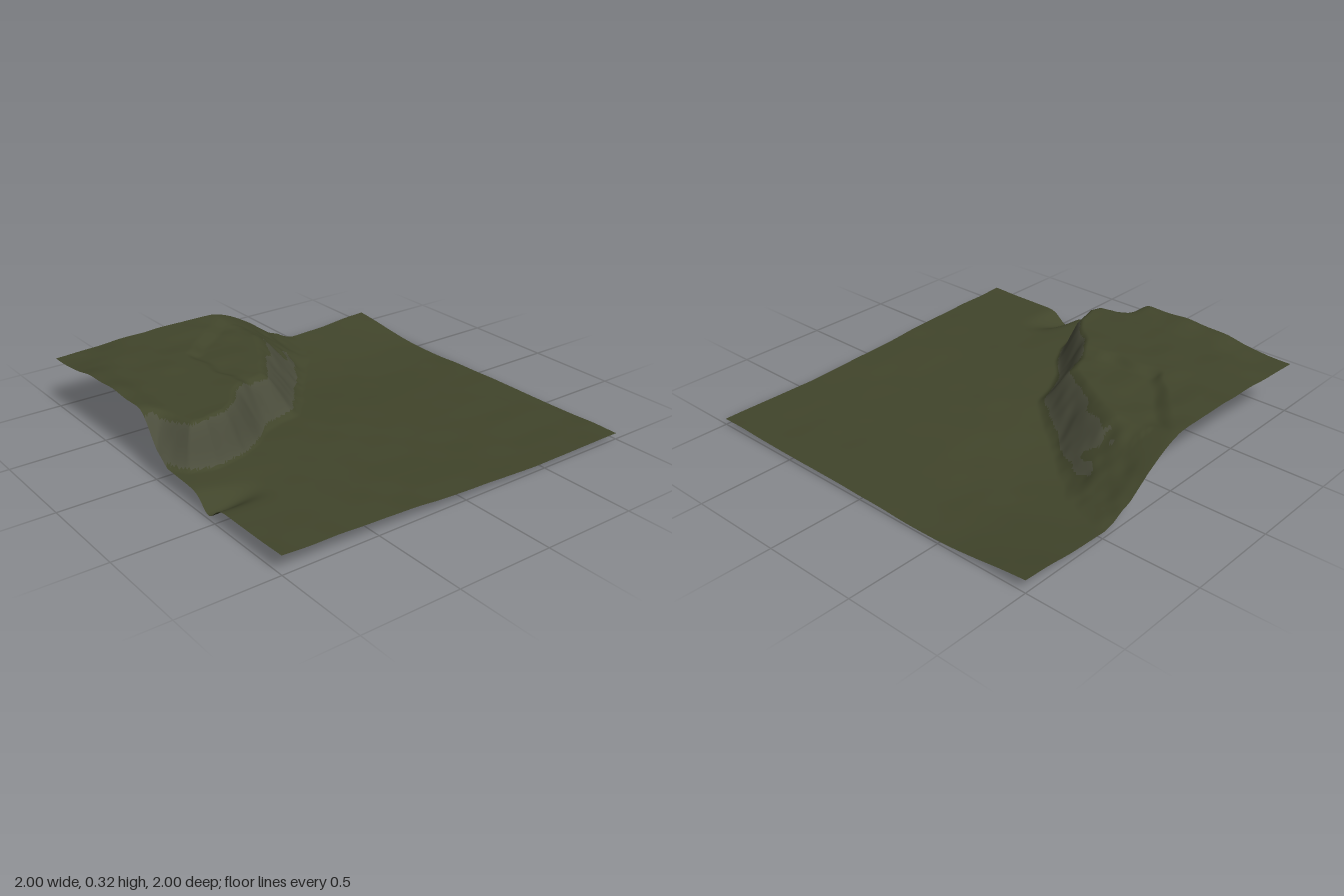
import * as THREE from 'three';

const { smoothstep, lerp, clamp } = THREE.MathUtils;

// Foot-to-rim midline of the cliff: x, z, half width of the slope
const CLIFF = [
  [-1.3, -0.06, 0.11], [-0.98, -0.01, 0.1], [-0.9, 0.14, 0.06], [-0.8, 0.165, 0.06],
  [-0.65, 0.13, 0.06], [-0.55, 0.06, 0.07], [-0.45, -0.04, 0.08], [-0.32, -0.11, 0.09],
  [-0.2, -0.15, 0.1], [-0.1, -0.29, 0.11], [0, -0.43, 0.12], [0.12, -0.62, 0.15],
  [0.19, -0.8, 0.23], [0.22, -1, 0.28], [0.24, -1.4, 0.28],
];

// Gentle heights of the lowland, rows from z = -1 to 1, columns from x = -1 to 1
const PLAIN = [
  [0.1, 0.08, 0.05, 0.035, 0.07],
  [0.11, 0.08, 0.03, 0.005, 0.02],
  [0.11, 0.085, 0.045, 0.015, 0.025],
  [0.09, 0.08, 0.045, 0.025, 0.03],
  [0.095, 0.08, 0.052, 0.032, 0.037],
];

function spline(v, t) {
  const i = Math.min(Math.floor(t), v.length - 2), f = t - i;
  const a = v[i], b = v[i + 1];
  const ma = i > 0 ? (b - v[i - 1]) / 2 : b - a;
  const mb = i + 2 < v.length ? (v[i + 2] - a) / 2 : b - a;
  const f2 = f * f, f3 = f2 * f;
  return a * (2 * f3 - 3 * f2 + 1) + ma * (f3 - 2 * f2 + f) + b * (3 * f2 - 2 * f3) + mb * (f3 - f2);
}

function plainHeight(x, z) {
  const u = clamp((x + 1) * 2, 0, 4), w = clamp((z + 1) * 2, 0, 4);
  return spline(PLAIN.map((row) => spline(row, u)), w);
}

// Position across the slope: -1 at the foot, +1 at the rim
function acrossCliff(x, z) {
  let best = Infinity, width = 0.1, inside = false;
  for (let i = 0; i < CLIFF.length - 1; i++) {
    const [ax, az, aw] = CLIFF[i], [bx, bz, bw] = CLIFF[i + 1];
    const dx = bx - ax, dz = bz - az;
    const t = clamp(((x - ax) * dx + (z - az) * dz) / (dx * dx + dz * dz), 0, 1);
    const d = Math.hypot(x - ax - t * dx, z - az - t * dz);
    if (d < best) { best = d; width = lerp(aw, bw, t); }
    if (x >= ax && x < bx) inside = z < az + (dz * (x - ax)) / dx;
  }
  return ((inside ? 1 : -1) * best) / width;
}

function hash(i, j) {
  const s = Math.sin(i * 127.1 + j * 311.7) * 43758.5453;
  return s - Math.floor(s);
}

function noise(x, z) {
  const i = Math.floor(x), j = Math.floor(z);
  const u = smoothstep(x - i, 0, 1), v = smoothstep(z - j, 0, 1);
  return lerp(lerp(hash(i, j), hash(i + 1, j), u), lerp(hash(i, j + 1), hash(i + 1, j + 1), u), v) - 0.5;
}

function plateauHeight(x, z) {
  // Lower bench along the eastern rim, parted by a small step
  const step = Math.min(x + 0.42, (x + z + 1) / 1.41) + 0.06 * noise(x * 9, z * 9);
  let h = 0.295 - 0.028 * smoothstep(step, -0.04, 0.04) * smoothstep(z, -1, -0.8);
  // Raised western edge and sunken back corner
  h += 0.028 * smoothstep(-x, 0.84, 0.98) * smoothstep(z, -0.95, -0.35) * smoothstep(-z, 0, 0.15);
  h -= 0.02 * smoothstep(-x - z, 1.5, 2);
  return h + 0.01 * noise(x * 8 + 3, z * 8);
}

function terrainHeight(x, z) {
  let low = plainHeight(x, z) + 0.004 * noise(x * 7, z * 7);
  // Small gully at the western edge below the cliff
  const gully = (z - 0.45 - 0.12 * (x + 1)) / 0.065;
  low -= 0.07 * Math.exp(-gully * gully) * smoothstep(-x, 0.68, 1.02);
  const t = clamp((acrossCliff(x, z) + 1) / 2 + 0.06 * noise(x * 16, z * 16), 0, 1);
  const rise = lerp(t, smoothstep(t, 0, 1), 0.75);
  return lerp(low, plateauHeight(x, z), rise);
}

export function createModel() {
  const group = new THREE.Group();
  group.name = 'terrain';

  // Square sheet lifted by the height rule
  const sheet = new THREE.PlaneGeometry(2, 2, 160, 160).rotateX(-Math.PI / 2);
  const pos = sheet.attributes.position;
  for (let i = 0; i < pos.count; i++) pos.setY(i, terrainHeight(pos.getX(i), pos.getZ(i)));
  sheet.computeBoundingBox();
  sheet.translate(0, -sheet.boundingBox.min.y, 0);
  sheet.computeVertexNormals();

  // Steep faces become rock, the others grass; both share the smooth normals
  const grass = [], rock = [], index = sheet.index.array, nor = sheet.attributes.normal;
  for (let i = 0; i < index.length; i += 3) {
    const face = [index[i], index[i + 1], index[i + 2]];
    const up = face.reduce((sum, k) => sum + nor.getY(k), 0) / 3;
    (up < 0.72 ? rock : grass).push(...face);
  }
  const addPart = (name, faces, color) => {
    const geometry = sheet.clone().setIndex(faces);
    const material = new THREE.MeshStandardMaterial({ color, side: THREE.DoubleSide });
    const mesh = new THREE.Mesh(geometry, material);
    mesh.name = name;
    group.add(mesh);
  };
  addPart('grassland', grass, 0x41452b);
  addPart('cliffFace', rock, 0x4b4d3c);
  return group;
}
